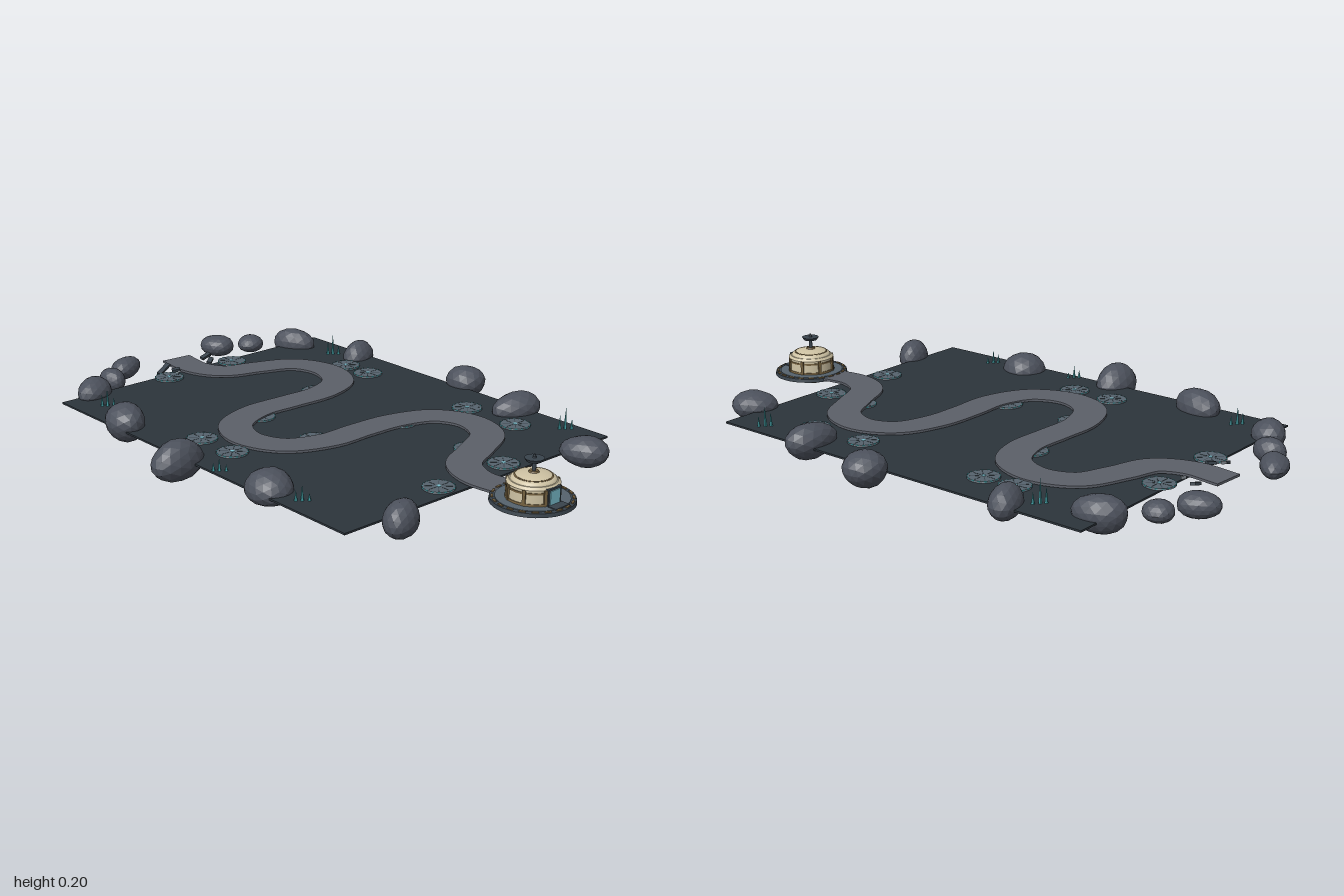
import * as THREE from 'three';

const mat = (name, color, opts = {}) => {
  const m = new THREE.MeshStandardMaterial({ color, ...opts });
  m.name = name;
  return m;
};

export function createModel() {
  const ground = mat('dark ground', 0x2c343b);
  const road = mat('road grey', 0x5b5f68);
  const stone = mat('rock grey', 0x4c515c, { flatShading: true });
  const metal = mat('dark metal', 0x39434c);
  const pad = mat('pad grey', 0x56636d);
  const cream = mat('cream wall', 0xcdc1a2);
  const brown = mat('bronze trim', 0x75613f);
  const teal = mat('teal crystal', 0x3f9aa0, { flatShading: true });
  const glow = mat('pale blue glass', 0x79bccb);

  const model = new THREE.Group();
  const add = (parent, name, geo, material, x = 0, y = 0, z = 0) => {
    const mesh = new THREE.Mesh(geo, material);
    mesh.name = name;
    mesh.position.set(x, y, z);
    parent.add(mesh);
    return mesh;
  };
  const group = (name, x, y, z) => {
    const g = new THREE.Group();
    g.name = name;
    g.position.set(x, y, z);
    model.add(g);
    return g;
  };
  const cyl = (r1, r2, h, n = 32) => new THREE.CylinderGeometry(r1, r2, h, n);

  // Ground slab
  add(model, 'ground', new THREE.BoxGeometry(1.15, 0.006, 1.46), ground, 0.003, 0.064, -0.05);

  // Winding road: a ribbon outlined on both sides of a curve
  const line = new THREE.CatmullRomCurve3([
    [0, -0.9], [-0.01, -0.76], [0.04, -0.66], [0.16, -0.615], [0.285, -0.555], [0.33, -0.43],
    [0.28, -0.305], [0.16, -0.25], [0, -0.25], [-0.14, -0.25], [-0.275, -0.19], [-0.325, -0.07],
    [-0.275, 0.06], [-0.14, 0.12], [0, 0.12], [0.15, 0.13], [0.28, 0.185], [0.33, 0.3],
    [0.285, 0.42], [0.16, 0.49], [0.04, 0.55], [-0.01, 0.65], [0, 0.78],
  ].map(([x, z]) => new THREE.Vector3(x, 0, z)));
  const left = [], right = [];
  for (let i = 0; i <= 160; i++) {
    const p = line.getPointAt(i / 160), t = line.getTangentAt(i / 160);
    left.push(new THREE.Vector2(p.x - t.z * 0.057, p.z + t.x * 0.057));
    right.push(new THREE.Vector2(p.x + t.z * 0.057, p.z - t.x * 0.057));
  }
  const ribbon = new THREE.ExtrudeGeometry(new THREE.Shape([...left, ...right.reverse()]),
    { depth: 0.008, bevelEnabled: false });
  ribbon.rotateX(Math.PI / 2);
  add(model, 'road', ribbon, road, 0, 0.077, 0);

  // Round pads beside the road, with a dashed rim, spokes and a lit centre
  const padGeo = cyl(0.05, 0.052, 0.005, 28);
  const dashGeo = new THREE.BoxGeometry(0.009, 0.003, 0.003);
  const spokeGeo = new THREE.BoxGeometry(0.0025, 0.001, 0.028);
  const hubGeo = cyl(0.007, 0.007, 0.004, 12);
  [[-0.14, -0.75], [0.145, -0.75], [0.43, -0.43], [0.43, -0.31], [0.16, -0.285],
    [-0.155, -0.21], [-0.425, -0.175], [-0.425, -0.015], [-0.155, 0.07], [0.16, 0.145],
    [0.43, 0.19], [0.43, 0.41], [0.16, 0.46], [-0.14, 0.62], [0.145, 0.62],
  ].forEach(([x, z]) => {
    const g = group('pad', x, 0.0695, z);
    add(g, 'padDisc', padGeo, pad);
    add(g, 'padCentre', hubGeo, glow, 0, 0.002, 0);
    for (let i = 0; i < 16; i++) {
      const a = i / 16 * Math.PI * 2;
      const d = add(g, 'rimDash', dashGeo, teal, Math.sin(a) * 0.05, 0.0015, Math.cos(a) * 0.05);
      d.rotation.y = a;
      if (i % 2) continue;
      const s = add(g, 'padGroove', spokeGeo, metal, Math.sin(a) * 0.028, 0.0026, Math.cos(a) * 0.028);
      s.rotation.y = a;
    }
  });

  // Boulders: x, z, half sizes x/y/z, turn
  const boulder = (seed) => {
    const g = new THREE.IcosahedronGeometry(1, 2), p = g.attributes.position;
    const v = new THREE.Vector3();
    for (let i = 0; i < p.count; i++) {
      v.fromBufferAttribute(p, i);
      const k = 0.98 + 0.05 * Math.sin(2.7 * v.x + seed) + 0.045 * Math.sin(3.1 * v.y + 2 * seed)
        + 0.04 * Math.cos(2.9 * v.z + 3 * seed);
      v.multiplyScalar(k);
      p.setXYZ(i, v.x, v.y, v.z);
    }
    g.computeVertexNormals();
    return g;
  };
  [[-0.44, -0.78, 0.078, 0.055, 0.055, 0.6], [-0.31, -0.86, 0.046, 0.038, 0.06, 0],
    [-0.195, -0.945, 0.068, 0.042, 0.048, 0.5], [0.215, -0.935, 0.055, 0.04, 0.07, 0.45],
    [0.33, -0.87, 0.054, 0.036, 0.044, 0.4], [0.46, -0.755, 0.058, 0.056, 0.085, 0.4],
    [0.55, -0.49, 0.072, 0.058, 0.055, 0.4], [-0.53, -0.465, 0.065, 0.064, 0.098, -0.35],
    [-0.6, -0.075, 0.105, 0.067, 0.062, 0.15], [0.622, 0.003, 0.073, 0.062, 0.068, 0],
    [-0.522, 0.29, 0.074, 0.06, 0.085, -0.3], [0.537, 0.317, 0.093, 0.06, 0.062, -0.15],
    [-0.387, 0.715, 0.083, 0.052, 0.055, 0.5], [0.41, 0.722, 0.065, 0.054, 0.08, 0.5],
  ].forEach(([x, z, rx, ry, rz, turn], i) => {
    const b = add(model, 'boulder', boulder(i * 1.7 + 0.4), stone, x, 0.072, z);
    b.scale.set(rx, ry, rz);
    b.rotation.y = turn;
  });

  // Crystal clusters: x, z, height of the tallest spike
  const spike = new THREE.ConeGeometry(1, 1, 5).translate(0, 0.5, 0);
  [[-0.475, -0.645, 0.065], [0.49, -0.57, 0.08], [-0.55, 0.08, 0.045],
    [-0.51, 0.425, 0.052], [0.525, 0.545, 0.075],
  ].forEach(([x, z, h]) => {
    const g = group('crystalCluster', x, 0.066, z);
    [[0, 0, 1], [-0.014, -0.012, 0.65], [0.016, 0.014, 0.5]].forEach(([dx, dz, k]) => {
      add(g, 'crystal', spike, teal, dx, 0, dz).scale.set(0.006, h * k, 0.006);
    });
  });

  // Broken slabs beside the far road end
  [[-0.115, -0.82, 0.065, 0.4], [0.095, -0.845, 0.04, 0.1], [-0.085, -0.785, 0.03, -0.5],
    [0.075, -0.79, 0.03, 0.6]].forEach(([x, z, w, turn]) => {
    const s = add(model, 'brokenSlab', new THREE.BoxGeometry(w, 0.01, 0.017), metal, x, 0.077, z);
    s.rotation.set(0.2, turn, 0.25);
  });

  // Domed outpost on a round platform
  const base = group('outpost', 0, 0, 0.868);
  add(base, 'platform', cyl(0.128, 0.13, 0.012, 40), metal, 0, 0.071, 0);
  add(base, 'platformDeck', cyl(0.112, 0.112, 0.003, 40), pad, 0, 0.0775, 0);
  const bowl = add(base, 'underBowl',
    new THREE.SphereGeometry(0.08, 32, 10, 0, Math.PI * 2, Math.PI / 2, Math.PI / 2), cream, 0, 0.066, 0);
  bowl.scale.y = 0.44;
  add(base, 'wall', cyl(0.078, 0.08, 0.054), cream, 0, 0.103, 0);
  add(base, 'wallFoot', cyl(0.082, 0.083, 0.008), brown, 0, 0.082, 0);
  add(base, 'wallBand', cyl(0.081, 0.081, 0.006), brown, 0, 0.117, 0);
  add(base, 'eave', cyl(0.073, 0.081, 0.008), cream, 0, 0.132, 0);
  const dome = add(base, 'dome',
    new THREE.SphereGeometry(0.07, 32, 10, 0, Math.PI * 2, 0, Math.PI / 2), cream, 0, 0.134, 0);
  dome.scale.y = 0.33;
  const ring = add(base, 'domeRing', new THREE.TorusGeometry(0.056, 0.003, 6, 32), brown, 0, 0.146, 0);
  ring.rotation.x = Math.PI / 2;

  // Wall ribs and platform lamps
  for (let i = 0; i < 8; i++) {
    const a = (i + 0.5) / 8 * Math.PI * 2;
    const rib = add(base, 'wallRib', new THREE.BoxGeometry(0.01, 0.05, 0.009), brown,
      Math.sin(a) * 0.08, 0.103, Math.cos(a) * 0.08);
    rib.rotation.y = a;
  }
  for (let i = 0; i < 20; i++) {
    const a = (i + 0.5) / 20 * Math.PI * 2;
    const trim = add(base, 'platformTrim', new THREE.BoxGeometry(0.02, 0.004, 0.007), brown,
      Math.sin(a) * 0.12, 0.078, Math.cos(a) * 0.12);
    trim.rotation.y = a;
  }

  // Front door and step
  add(base, 'doorFrame', new THREE.BoxGeometry(0.056, 0.054, 0.012), metal, 0, 0.104, 0.077);
  add(base, 'door', new THREE.BoxGeometry(0.042, 0.046, 0.004), glow, 0, 0.102, 0.084);
  add(base, 'doorStep', new THREE.BoxGeometry(0.06, 0.004, 0.03), metal, 0, 0.08, 0.1);

  // Mast with dish
  add(base, 'mast', cyl(0.005, 0.007, 0.055, 12), metal, 0, 0.178, 0);
  add(base, 'mastFoot', cyl(0.014, 0.018, 0.008, 16), brown, 0, 0.157, 0);
  add(base, 'dish', cyl(0.03, 0.024, 0.01, 20), metal, 0, 0.195, 0);
  add(base, 'mastTip', cyl(0.003, 0.006, 0.012, 10), metal, 0, 0.205, 0);

  return model;
}
